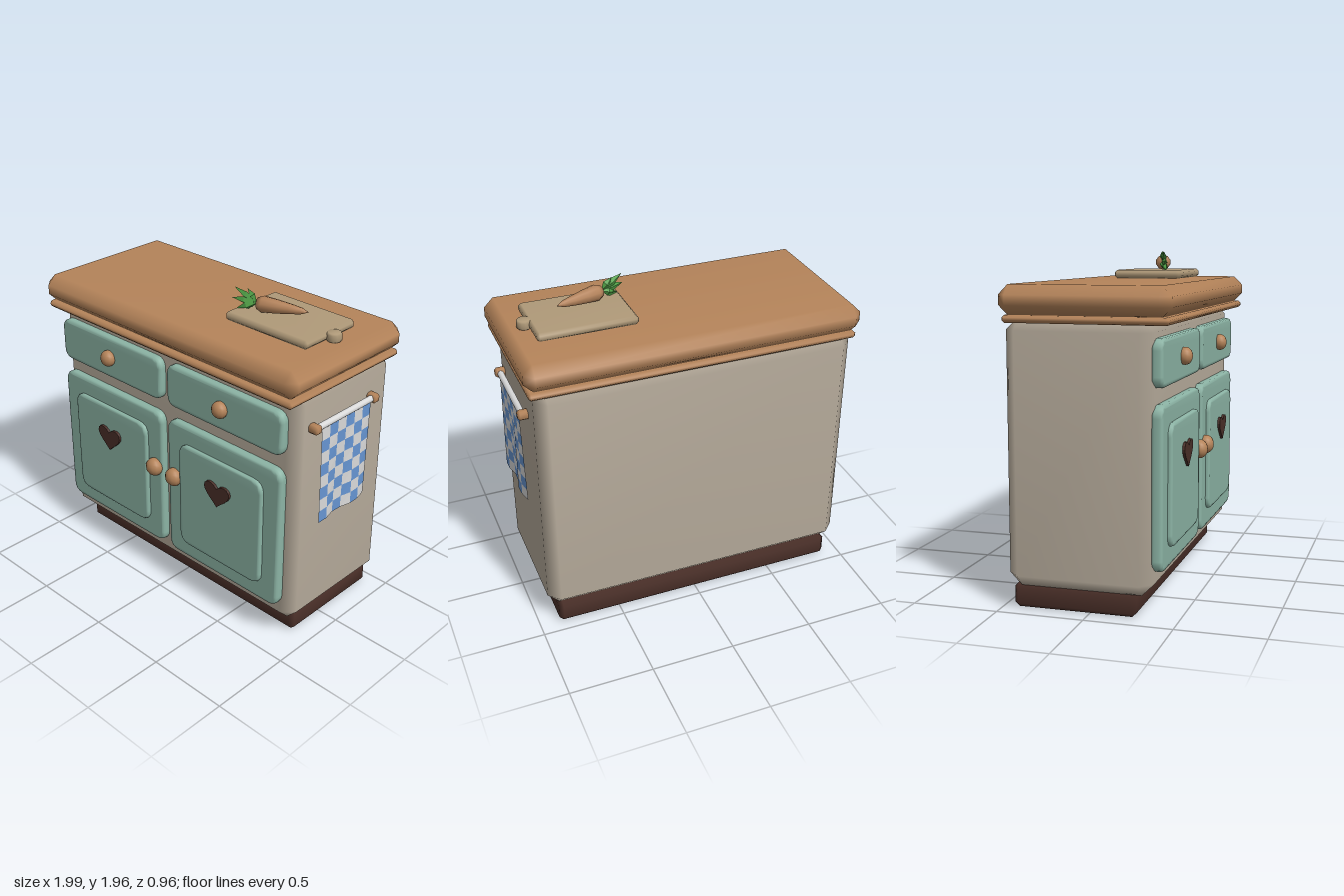
import * as THREE from 'three';
import { mergeVertices } from 'three/addons/utils/BufferGeometryUtils.js';
import { ConvexGeometry } from 'three/addons/geometries/ConvexGeometry.js';

const mat = (name, color, side = THREE.FrontSide) => {
  const m = new THREE.MeshStandardMaterial({ color, side });
  m.name = name;
  return m;
};

// merge corners so that bevels shade softly into the faces
function soften(geo) {
  geo.deleteAttribute('normal');
  geo.deleteAttribute('uv');
  const g = mergeVertices(geo, 1e-4);
  g.computeVertexNormals();
  return g;
}

// box with every edge cut off at 45 degrees, given by its min and max corners
function chamferBox(min, max, c) {
  const pts = [];
  for (let i = 0; i < 8; i++) {
    const hi = [i & 1, i & 2, i & 4];
    for (let full = 0; full < 3; full++) {
      pts.push(new THREE.Vector3(...hi.map((h, a) => {
        const inset = a === full ? 0 : c;
        return h ? max[a] - inset : min[a] + inset;
      })));
    }
  }
  return soften(new ConvexGeometry(pts));
}

// rounded rectangular plate facing +z, from z0 to z1, with a bevelled rim
function slab(x0, x1, y0, y1, z0, z1, r, b) {
  const s = new THREE.Shape();
  const l = x0 + b, t = x1 - b, d = y0 + b, u = y1 - b;
  s.moveTo(l + r, d);
  s.lineTo(t - r, d).quadraticCurveTo(t, d, t, d + r);
  s.lineTo(t, u - r).quadraticCurveTo(t, u, t - r, u);
  s.lineTo(l + r, u).quadraticCurveTo(l, u, l, u - r);
  s.lineTo(l, d + r).quadraticCurveTo(l, d, l + r, d);
  const g = new THREE.ExtrudeGeometry(s, {
    depth: z1 - z0 - 2 * b, bevelSize: b, bevelThickness: b, bevelSegments: 2, curveSegments: 4,
  });
  g.translate(0, 0, z0 + b);
  return soften(g);
}

function heart() {
  const s = new THREE.Shape();
  s.moveTo(0, -0.088);
  s.bezierCurveTo(-0.03, -0.055, -0.097, -0.015, -0.097, 0.022);
  s.bezierCurveTo(-0.097, 0.072, -0.03, 0.072, 0, 0.032);
  s.bezierCurveTo(0.03, 0.072, 0.097, 0.072, 0.097, 0.022);
  s.bezierCurveTo(0.097, -0.015, 0.03, -0.055, 0, -0.088);
  return new THREE.ExtrudeGeometry(s, { depth: 0.025, bevelEnabled: false, curveSegments: 6 });
}

// cloth squares of one colour, hanging beside the cabinet with a slight wave
function clothCells(parity) {
  const cols = 6, rows = 8, pos = [];
  const point = (j, i) => {
    const z = 0.2 - (0.42 * j) / cols, y = 0.79 + (0.59 * i) / rows;
    const drop = 1 - i / rows;
    return [0.975 + 0.012 * drop * Math.sin(j * 1.6 + 0.8), y, z];
  };
  for (let i = 0; i < rows; i++) {
    for (let j = 0; j < cols; j++) {
      if ((i + j) % 2 !== parity) continue;
      const a = point(j, i), b = point(j + 1, i), c = point(j + 1, i + 1), d = point(j, i + 1);
      pos.push(...a, ...b, ...c, ...a, ...c, ...d);
    }
  }
  const g = new THREE.BufferGeometry();
  g.setAttribute('position', new THREE.Float32BufferAttribute(pos, 3));
  g.computeVertexNormals();
  return g;
}

export function createModel() {
  const group = new THREE.Group();
  const wood = mat('warm wood', 0xb5845a);
  const paint = mat('stone paint', 0xb6ab9b);
  const teal = mat('soft teal', 0x8cb4a5);
  const dark = mat('dark brown', 0x4a2f28);
  const boardWood = mat('pale board wood', 0xb09a79);
  const carrotMat = mat('carrot', 0xb3825a);
  const leafMat = mat('leaf green', 0x4f9f45, THREE.DoubleSide);
  const white = mat('white', 0xdadada, THREE.DoubleSide);
  const blue = mat('cloth blue', 0x6695d2, THREE.DoubleSide);

  const add = (name, geo, material, x = 0, y = 0, z = 0) => {
    const m = new THREE.Mesh(geo, material);
    m.name = name;
    m.position.set(x, y, z);
    group.add(m);
    return m;
  };
  // stands a y-axis mesh along the line from a to b, centred between them
  const along = (m, a, b) => {
    m.position.copy(a).lerp(b, 0.5);
    m.quaternion.setFromUnitVectors(new THREE.Vector3(0, 1, 0), b.clone().sub(a).normalize());
  };

  // cabinet
  add('plinth', chamferBox([-0.9, 0, -0.44], [0.88, 0.14, 0.265], 0.025), dark);
  add('cabinetBody', chamferBox([-0.96, 0.13, -0.46], [0.937, 1.61, 0.367], 0.068), paint);
  add('moulding', chamferBox([-0.97, 1.582, -0.458], [0.967, 1.624, 0.458], 0.014), wood);
  add('countertop', chamferBox([-1, 1.62, -0.48], [0.985, 1.786, 0.472], 0.055), wood);

  // two matching bays, each with a drawer and a heart door
  const knob = (name, r, x, y) => {
    const k = add(name, new THREE.SphereGeometry(r, 12, 10), wood, x, y, 0.428);
    k.scale.z = 0.85;
  };
  for (const [side, x] of [['right', -0.475], ['left', 0.445]]) {
    const dir = side === 'left' ? 1 : -1;
    add(side + 'Drawer', slab(x - 0.435, x + 0.435, 1.25, 1.512, 0.35, 0.414, 0.045, 0.018), teal);
    add(side + 'Door', slab(x - 0.435, x + 0.435, 0.26, 1.162, 0.35, 0.414, 0.05, 0.018), teal);
    add(side + 'DoorPanel', slab(x - 0.32, x + 0.32, 0.37, 1.052, 0.39, 0.438, 0.06, 0.014), teal);
    add(side + 'Heart', heart(), dark, x, 0.853, 0.428);
    knob(side + 'DrawerKnob', 0.05, x, 1.385);
    knob(side + 'DoorKnob', 0.056, -0.012 + dir * 0.083, 0.795);
  }

  // towel rail and cloth
  const rail = add('towelRail', new THREE.CylinderGeometry(0.019, 0.019, 0.48, 12), white, 0.965, 1.395, -0.007);
  rail.rotation.x = Math.PI / 2;
  for (const z of [0.242, -0.256]) {
    add('railBracket', chamferBox([0.925, 1.368, z - 0.026], [0.994, 1.42, z + 0.026], 0.012), wood);
  }
  add('clothBlueSquares', clothCells(0), blue);
  add('clothWhiteSquares', clothCells(1), white);

  // chopping board with a round grip
  add('choppingBoard', chamferBox([0.262, 1.786, -0.215], [0.838, 1.838, 0.198], 0.015), boardWood);
  add('boardGrip', soften(new THREE.LatheGeometry([
    [0, -0.026], [0.036, -0.026], [0.043, -0.016], [0.043, 0.016], [0.036, 0.026], [0, 0.026],
  ].map(p => new THREE.Vector2(...p)), 12)), boardWood, 0.858, 1.811, -0.01);

  // carrot lying on the board
  const root = new THREE.Vector3(0.385, 1.885, 0.072);
  const tip = new THREE.Vector3(0.672, 1.886, -0.022);
  const len = root.distanceTo(tip);
  const profile = [[0, 0], [0.034, 0.004], [0.047, 0.035], [0.04, 0.11], [0.03, 0.19], [0.018, 0.26], [0, len]]
    .map(([r, h]) => new THREE.Vector2(r, h - len / 2));
  along(add('carrot', new THREE.LatheGeometry(profile, 10), carrotMat), root, tip);

  // leaf tuft
  const tips = [[0.25, 1.955, 0.11], [0.24, 1.893, 0.122], [0.275, 1.838, 0.118], [0.32, 1.955, 0.08], [0.3, 1.86, 0.085]];
  for (const t of tips) {
    const end = new THREE.Vector3(...t);
    const leaf = add('carrotLeaf', new THREE.OctahedronGeometry(1), leafMat);
    along(leaf, root, end);
    leaf.scale.set(0.024, root.distanceTo(end) / 2, 0.02);
  }
  return group;
}
